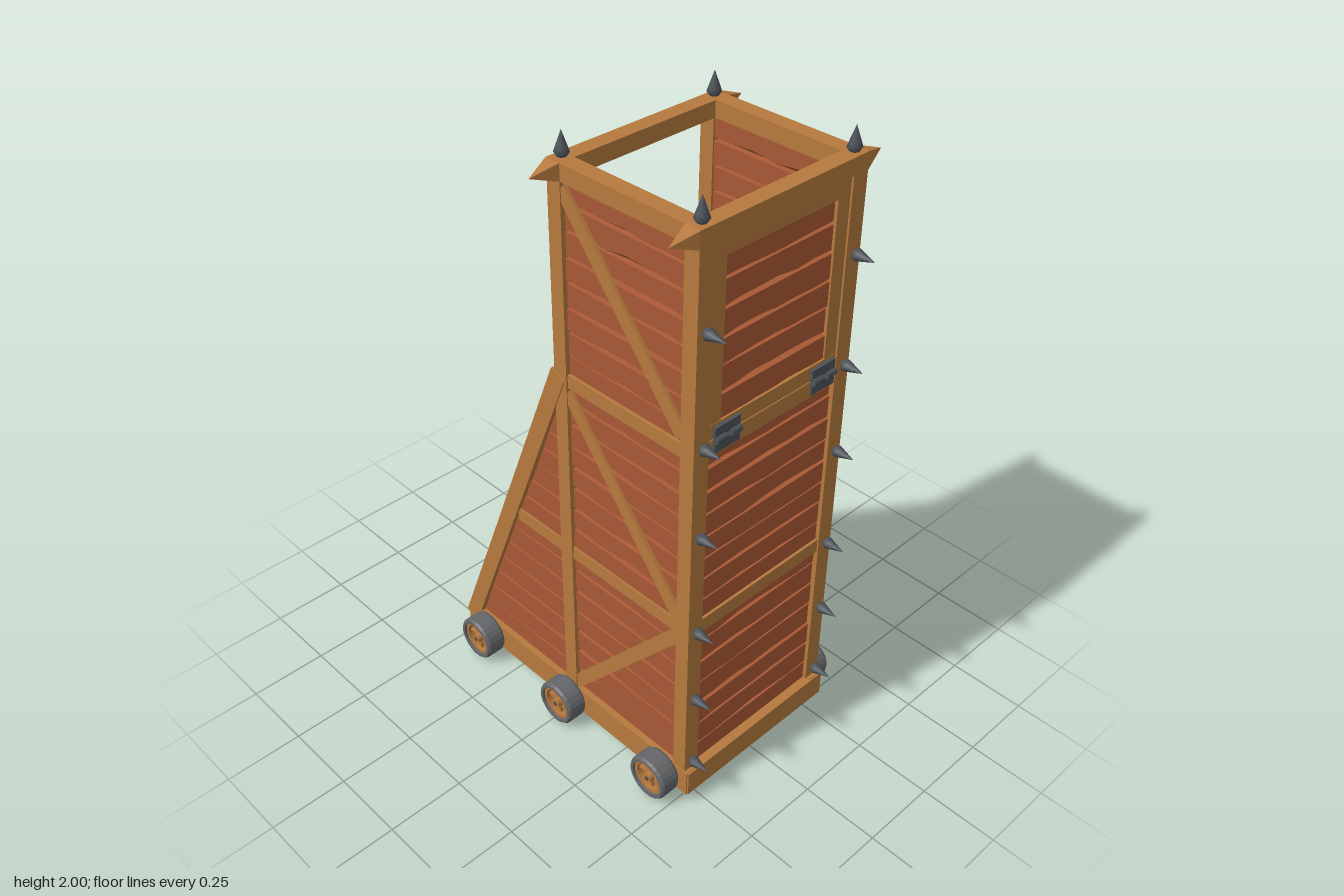
import * as THREE from 'three';
import { mergeGeometries } from 'three/addons/utils/BufferGeometryUtils.js';

const mat = (name, color) => {
  const m = new THREE.MeshStandardMaterial({ color });
  m.name = name;
  return m;
};

let seed = 7;
const rnd = () => (seed = (seed * 16807) % 2147483647) / 2147483647;
const jit = (a) => (rnd() - 0.5) * 2 * a;

export function createModel() {
  const root = new THREE.Group();
  root.name = 'siegeTower';
  const timber = mat('timber', 0xb67a3e);
  const plankRed = mat('redPlank', 0xa95935);
  const railWood = mat('ladderWood', 0x7f5d42);
  const tyreGrey = mat('tyreGrey', 0x65676a);
  const iron = mat('iron', 0x4c5258);

  const add = (name, geo, m, x = 0, y = 0, z = 0, parent = root) => {
    const mesh = new THREE.Mesh(geo, m);
    mesh.name = name;
    mesh.position.set(x, y, z);
    parent.add(mesh);
    return mesh;
  };
  // Box given by its limits
  const span = (name, x0, x1, y0, y1, z0, z1, m = timber) =>
    add(name, new THREE.BoxGeometry(x1 - x0, y1 - y0, z1 - z0), m, (x0 + x1) / 2, (y0 + y1) / 2, (z0 + z1) / 2);
  // Slanted bar in a side plane, from a to b as [z, y]
  const bar = (name, x, a, b, w, t, m = timber) => {
    const dz = b[0] - a[0], dy = b[1] - a[1];
    const mesh = add(name, new THREE.BoxGeometry(w, Math.hypot(dz, dy), t), m, x, (a[1] + b[1]) / 2, (a[0] + b[0]) / 2);
    mesh.rotation.x = Math.atan2(dz, dy);
    return mesh;
  };

  // Wall of rough boards facing +z, with wavy chamfered lower edges
  const boards = (left, right, v0, v1, board = 0.079) => {
    const n = Math.round((v1 - v0) / board), cols = 6, h = (v1 - v0) / n, parts = [];
    for (let i = 0; i < n; i++) {
      const pos = [], idx = [], bottom = v0 + i * h, top = bottom + h, depth = 0.017 + jit(0.003);
      for (let c = 0; c <= cols; c++) {
        const t = c / cols, cut = 0.003 + 0.014 * rnd() * Math.sin(Math.PI * (0.12 + 0.76 * t));
        const rows = [[top, 0], [top - 0.002, depth], [bottom + cut, depth], [bottom, 0]];
        for (const [v, d] of rows) pos.push(left(v) + (right(v) - left(v)) * t, v, d);
      }
      for (let c = 0; c < cols; c++) {
        for (let r = 0; r < 3; r++) {
          const a = c * 4 + r, b = a + 4;
          idx.push(a, a + 1, b + 1, a, b + 1, b);
        }
      }
      const g = new THREE.BufferGeometry();
      g.setAttribute('position', new THREE.Float32BufferAttribute(pos, 3));
      g.setIndex(idx);
      const flat = g.toNonIndexed();
      flat.computeVertexNormals();
      parts.push(flat);
    }
    return mergeGeometries(parts);
  };
  const k = (v) => () => v;

  // Base frame
  for (const s of [-1, 1]) span('baseSideBeam', s * 0.278 - 0.026, s * 0.278 + 0.026, 0.037, 0.127, -0.5, 0.53);
  span('baseFrontBeam', -0.3, 0.303, 0.04, 0.125, 0.47, 0.535);
  span('baseRearBeam', -0.26, 0.26, 0.04, 0.125, -0.5, -0.445);

  // Corner posts and top frame
  for (const z of [0.016, 0.494]) {
    for (const s of [-1, 1]) span('cornerPost', s * 0.273 - 0.027, s * 0.273 + 0.027, 0.1, 1.89, z - 0.024, z + 0.024);
    span('topBeam', -0.3, 0.3, 1.88, 1.93, z - 0.025, z + 0.025);
    for (const s of [-1, 1]) {
      const tip = new THREE.ConeGeometry(0.0354, 0.078, 4, 1).toNonIndexed();
      tip.rotateY(Math.PI / 4).rotateZ(-s * Math.PI / 2);
      tip.computeVertexNormals();
      add('beamTip', tip, timber, s * 0.339, 1.905, z);
    }
  }

  // Side walls with boards on both faces
  const backEdge = (y) => Math.min(0.03, -0.02 - 0.408 * (1.18 - y));
  const levels = [[0.11, 0.69, backEdge], [0.69, 1.29, backEdge], [1.29, 1.89, k(0.03)]];
  for (const s of [-1, 1]) {
    span('topSideBeam', s * 0.275 - 0.025, s * 0.275 + 0.025, 1.88, 1.93, 0.03, 0.48);
    span('upperSideRail', s * 0.277 - 0.018, s * 0.277 + 0.018, 1.265, 1.308, 0.03, 0.48);
    span('middleSideRail', s * 0.277 - 0.018, s * 0.277 + 0.018, 0.657, 0.702, -0.21, 0.48);
    bar('upperBrace', s * 0.281, [0.47, 1.33], [0.035, 1.86], 0.032, 0.042);
    bar('middleBrace', s * 0.281, [0.47, 0.71], [0.035, 1.25], 0.032, 0.042);
    bar('lowerBrace', s * 0.281, [0.47, 0.65], [0.035, 0.14], 0.032, 0.042);
    bar('slopedBeam', s * 0.277, [0.008, 1.298], [-0.486, 0.08], 0.054, 0.056);
    for (const [y0, y1, back] of levels) {
      // Outer face uses u = -s * z, inner face the opposite
      for (const face of [1, -1]) {
        const d = s * face;
        const front = k(-d * 0.48), rear = (v) => -d * back(v);
        const geo = d > 0 ? boards(front, rear, y0, y1) : boards(rear, front, y0, y1);
        const wall = add(face > 0 ? 'sideBoards' : 'innerSideBoards', geo, plankRed, s * (face > 0 ? 0.27 : 0.268));
        wall.rotation.y = d * Math.PI / 2;
      }
    }
  }

  // Front wall boards on both faces, with the door at the top
  for (const [name, w, y0, y1] of [['lowerFrontBoards', 0.255, 0.11, 0.69], ['middleFrontBoards', 0.255, 0.69, 1.29], ['doorBoards', 0.205, 1.35, 1.84]]) {
    add(name, boards(k(-w), k(w), y0, y1), plankRed, 0, 0, 0.488);
    add('innerFrontBoards', boards(k(-w), k(w), y0, y1), plankRed, 0, 0, 0.486).rotation.y = Math.PI;
  }
  span('frontMiddleRail', -0.25, 0.25, 0.655, 0.702, 0.475, 0.513);
  span('frontSill', -0.25, 0.25, 1.262, 1.312, 0.475, 0.516);
  span('doorBottomRail', -0.248, 0.248, 1.312, 1.358, 0.475, 0.513);
  span('doorTopRail', -0.248, 0.248, 1.828, 1.882, 0.475, 0.512);
  for (const s of [-1, 1]) {
    span('doorStile', s * 0.224 - 0.024, s * 0.224 + 0.024, 1.35, 1.84, 0.475, 0.512);
    // Hinge with two leaves and knuckles
    const hx = s * 0.186 + 0.004;
    span('hingeLeaf', hx - 0.046, hx + 0.046, 1.272, 1.306, 0.512, 0.523, iron);
    span('hingeLeaf', hx - 0.046, hx + 0.046, 1.318, 1.35, 0.512, 0.523, iron);
    for (const o of [-0.027, 0.027]) {
      const barrel = new THREE.CylinderGeometry(0.011, 0.011, 0.036, 10).rotateZ(Math.PI / 2);
      add('hingeKnuckle', barrel, iron, hx + o, 1.312, 0.523);
    }
  }

  // Platform floor, boarded above and below
  const floorTop = add('floorBoards', boards(k(-0.48), k(-0.01), -0.25, 0.25, 0.09), plankRed, 0, 1.29, 0);
  floorTop.rotation.set(-Math.PI / 2, 0, Math.PI / 2);
  const floorUnder = add('floorUnderside', boards(k(0.01), k(0.48), -0.25, 0.25, 0.09), plankRed, 0, 1.29, 0);
  floorUnder.rotation.set(Math.PI / 2, 0, Math.PI / 2);
  span('floorEdge', -0.25, 0.25, 1.275, 1.3, 0.0, 0.025);

  // Iron spikes on the roof corners and front posts
  const spikeGeo = new THREE.LatheGeometry(
    [[0, 0], [0.013, 0], [0.021, 0.012], [0.017, 0.024], [0.007, 0.052], [0, 0.072]].map(([x, y]) => new THREE.Vector2(x, y)), 8);
  for (const s of [-1, 1]) {
    for (const z of [0.013, 0.491]) add('roofSpike', spikeGeo, iron, s * 0.27 + 0.003, 1.928, z);
    for (const y of [1.65, 1.31, 1.02, 0.68, 0.42, 0.16]) {
      const spike = add('frontSpike', spikeGeo, iron, s * 0.275 + 0.003, y, 0.515);
      spike.rotation.x = Math.PI / 2;
      spike.scale.set(0.88, 1, 0.88);
    }
  }

  // Ladder
  const top = [-0.032, 1.336], foot = [-0.562, 0.011];
  for (const x of [-0.114, 0.099]) bar('ladderRail', x, foot, top, 0.042, 0.058, railWood);
  const tilt = Math.atan2(top[0] - foot[0], top[1] - foot[1]);
  for (let i = 0; i < 11; i++) {
    const y = 1.245 - i * 0.1095;
    const z = top[0] - 0.4 * (top[1] - y) - 0.046;
    const rung = add('ladderRung', new THREE.BoxGeometry(0.34 + jit(0.008), 0.044, 0.038), timber, -0.007 + jit(0.004), y + 0.006, z);
    rung.rotation.set(tilt + jit(0.06), 0, jit(0.012));
  }

  // Wheels and axles
  const v2 = (p) => p.map(([x, y]) => new THREE.Vector2(x, y));
  const ring = (p) => new THREE.LatheGeometry(v2(p), 24).toNonIndexed().rotateZ(Math.PI / 2);
  const tyreGeo = ring([[0.058, -0.034], [0.068, -0.034], [0.073, -0.026], [0.073, 0.026], [0.068, 0.034], [0.058, 0.034], [0.058, -0.034]]);
  const rimGeo = ring([[0.048, -0.025], [0.059, -0.025], [0.059, 0.025], [0.048, 0.025], [0.048, -0.025]]);
  for (const g of [tyreGeo, rimGeo]) g.computeVertexNormals();
  const hubGeo = new THREE.CylinderGeometry(0.016, 0.016, 0.062, 12).rotateZ(Math.PI / 2);
  const capGeo = new THREE.CylinderGeometry(0.007, 0.007, 0.068, 8).rotateZ(Math.PI / 2);
  for (const z of [0.43, 0.015, -0.385]) {
    add('axle', new THREE.CylinderGeometry(0.009, 0.009, 0.64, 10).rotateZ(Math.PI / 2), timber, 0.003, 0.08, z);
    add('axleSleeve', new THREE.CylinderGeometry(0.018, 0.018, 0.37, 12).rotateZ(Math.PI / 2), iron, 0.007, 0.08, z);
    for (const s of [-1, 1]) {
      const wheel = new THREE.Group();
      wheel.name = 'wheel';
      wheel.position.set(s * 0.342 + 0.003, 0.08, z);
      root.add(wheel);
      add('tyre', tyreGeo, tyreGrey, 0, 0, 0, wheel);
      add('rim', rimGeo, timber, 0, 0, 0, wheel);
      add('hub', hubGeo, timber, 0, 0, 0, wheel);
      add('hubCap', capGeo, iron, 0, 0, 0, wheel);
      for (let i = 0; i < 4; i++) {
        add('spokes', new THREE.BoxGeometry(0.03, 0.104, 0.011), timber, 0, 0, 0, wheel).rotation.x = i * Math.PI / 4;
      }
    }
  }
  return root;
}
